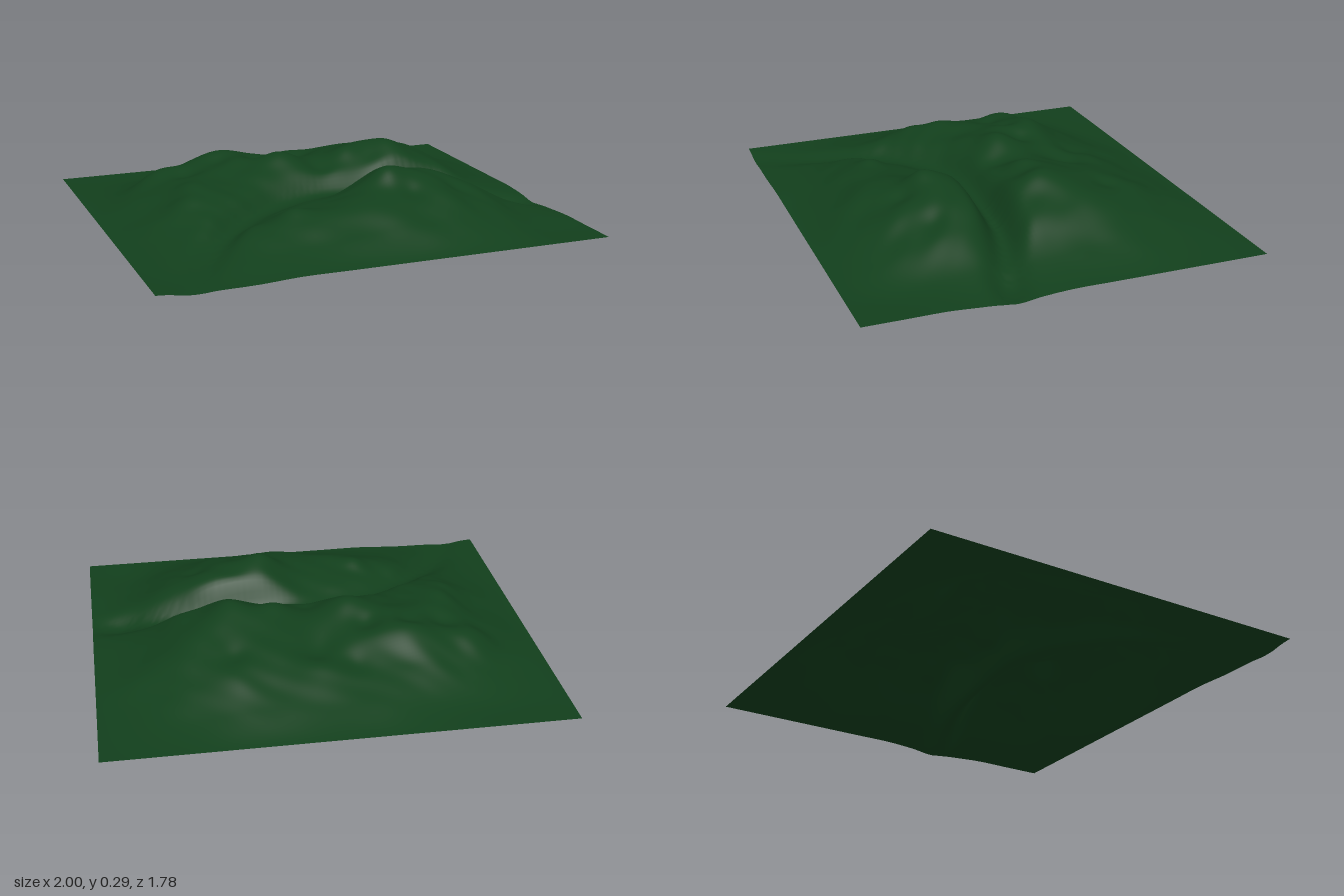
import * as THREE from 'three';

const WIDTH = 2, DEPTH = 1.78;

// Massif cross-sections from back to front: heights in hundredths, left to right along x
const SECTIONS = [
  [3, 3, 3, 3, 3, 3, 3, 3, 3, 3, 3],
  [3, 3, 4, 6, 8, 8, 9, 9, 6, 4, 3],
  [3, 5, 10, 14, 14, 15, 16, 17, 12, 6, 3],
  [3, 8, 17, 23, 22, 18, 21, 22, 18, 9, 3],
  [3, 10, 18, 21, 24, 21, 25, 26, 20, 9, 3],
  [3, 9, 17, 19, 21, 20, 21, 23, 18, 8, 3],
  [3, 9, 16, 16, 13, 15, 23, 24, 16, 6, 2],
  [3, 7, 12, 11, 15, 18, 26, 24, 17, 7, 2],
  [3, 5, 8, 13, 16, 18, 19, 18, 13, 5, 3],
  [3, 3, 5, 7, 9, 11, 12, 10, 7, 3, 3],
  [3, 2, 2, 3, 3, 3, 3, 3, 3, 3, 3],
];

// Local summits and hollows: x, z, radius, height change
const SPOTS = [
  [0.18, 0.37, 0.08, 0.035], [-0.12, -0.11, 0.1, 0.045], [0.4, -0.08, 0.1, 0.04],
  [0.19, -0.1, 0.08, 0.03], [-0.68, -0.34, 0.1, 0.035], [-0.36, -0.37, 0.08, 0.015],
  [-0.62, 0, 0.09, 0.03], [-0.48, -0.12, 0.08, 0.015], [-0.34, -0.17, 0.07, 0.015],
  [-0.56, -0.23, 0.08, -0.03], [-0.38, -0.27, 0.06, -0.02], [-0.66, 0.14, 0.08, 0.02],
  [-0.29, 0.46, 0.07, 0.03], [-0.5, 0.42, 0.07, 0.015], [0.05, 0.58, 0.1, 0.015],
  [0.38, 0.58, 0.1, 0.015], [0.26, 0.47, 0.06, -0.02], [0.5, 0.42, 0.07, -0.02],
  [-0.2, -0.26, 0.07, -0.03], [0.03, -0.39, 0.08, -0.015], [0.05, -0.5, 0.08, 0.015],
  [-0.12, -0.47, 0.07, -0.02], [0.4, -0.42, 0.06, -0.02], [0.03, -0.03, 0.06, -0.015],
];

// Valley floor line, x, y, z
const valley = new THREE.CatmullRomCurve3([
  [1.05, 0.015, 0.26], [0.88, 0, 0.23], [0.75, 0.035, 0.19], [0.55, 0.07, 0.14],
  [0.25, 0.1, 0.12], [0, 0.11, 0.12], [-0.2, 0.1, 0.17], [-0.4, 0.085, 0.28],
  [-0.57, 0.06, 0.43], [-0.72, 0.025, 0.62], [-0.85, 0.012, 0.92],
].map((p) => new THREE.Vector3(...p))).getPoints(90);

function cubic(a, b, c, d, t) {
  return b + 0.5 * t * (c - a + t * (2 * a - 5 * b + 4 * c - d + t * (3 * (b - c) + d - a)));
}

// Smooth interpolation through a list, u from 0 to 1
function sample(count, u, value) {
  const f = THREE.MathUtils.clamp(u, 0, 1) * (count - 1);
  const i = Math.min(Math.floor(f), count - 2);
  const at = (k) => value(THREE.MathUtils.clamp(k, 0, count - 1));
  return cubic(at(i - 1), at(i), at(i + 1), at(i + 2), f - i);
}

function heightAt(x, z) {
  const u = x / WIDTH + 0.5, v = z / DEPTH + 0.5;
  let y = sample(SECTIONS.length, v, (r) =>
    sample(SECTIONS[r].length, u, (c) => SECTIONS[r][c])) / 100;

  for (const [sx, sz, radius, rise] of SPOTS) {
    y += rise * Math.exp(-((x - sx) ** 2 + (z - sz) ** 2) / radius ** 2);
  }

  // Gullies and spurs, stronger on high ground
  const wx = x + 0.05 * Math.sin(7 * z + 1), wz = z + 0.05 * Math.sin(6 * x);
  const ripple = Math.sin(17 * wx + 5 * wz) * Math.cos(15 * wz - 4 * wx)
    + 0.5 * Math.sin(29 * wx - 13 * wz + 2) * Math.cos(25 * wz + 1);
  y += 0.005 * ripple * THREE.MathUtils.smoothstep(y, 0.04, 0.16);

  // Carve the valley
  let best = Infinity, floor = 0;
  for (const p of valley) {
    const d = (p.x - x) ** 2 + (p.z - z) ** 2;
    if (d < best) { best = d; floor = p.y; }
  }
  const carve = Math.exp(-((best / 0.0052) ** 1.2));
  return Math.max(0, THREE.MathUtils.lerp(y, Math.min(y, floor), carve));
}

export function createModel() {
  const group = new THREE.Group();
  group.name = 'mountainTerrain';

  const geometry = new THREE.PlaneGeometry(WIDTH, DEPTH, 140, 124);
  geometry.rotateX(-Math.PI / 2);
  const pos = geometry.attributes.position;
  for (let i = 0; i < pos.count; i++) {
    pos.setY(i, heightAt(pos.getX(i), pos.getZ(i)));
  }
  geometry.computeVertexNormals();

  const land = new THREE.Mesh(geometry, new THREE.MeshStandardMaterial({
    color: 0x123f1c, side: THREE.DoubleSide,
  }));
  land.name = 'landSurface';
  group.add(land);
  return group;
}
